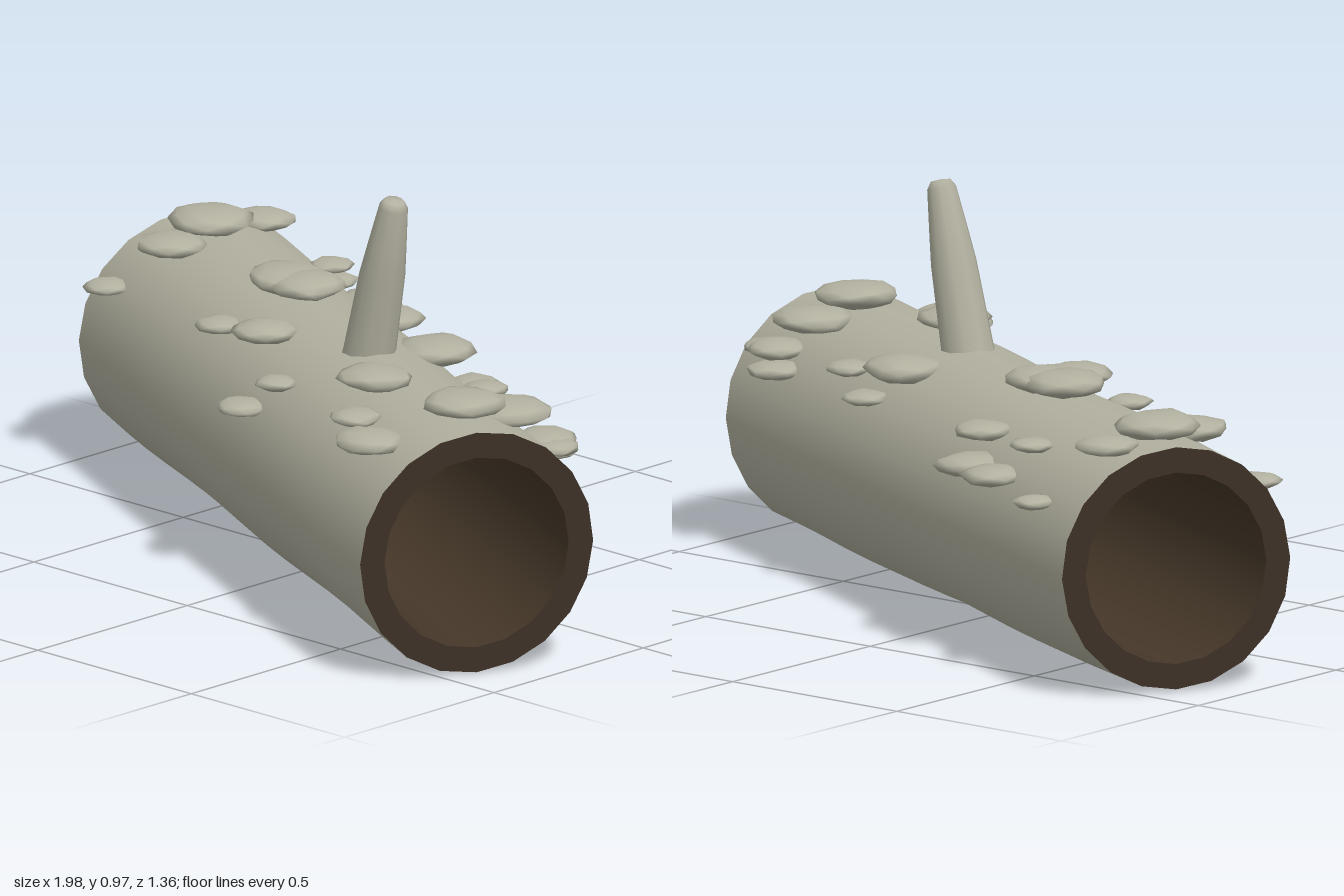
import * as THREE from 'three';
import { mergeVertices } from 'three/addons/utils/BufferGeometryUtils.js';

const LENGTH = 1.915, RADIUS = 0.291, INNER = 0.23, CENTRE_Y = 0.304, SIDES = 20;
const YAW = -0.45; // the log lies diagonally

// knobs on the bark: x, z, radius
const KNOBS = [
  [-0.565, -0.58, 0.05], [-0.71, -0.485, 0.072], [-0.735, -0.335, 0.1], [-0.73, -0.2, 0.083], [-0.87, -0.125, 0.055],
  [-0.345, -0.465, 0.075], [-0.44, -0.435, 0.052], [-0.23, -0.41, 0.083], [-0.21, -0.34, 0.07], [-0.28, -0.12, 0.096],
  [-0.205, -0.12, 0.09], [-0.305, 0.08, 0.055], [-0.115, 0.12, 0.08], [-0.015, 0.3, 0.06], [0.08, 0.285, 0.05],
  [0.26, -0.065, 0.095], [0.335, -0.115, 0.055], [0.47, -0.015, 0.055], [0.4, 0.285, 0.085], [0.485, 0.435, 0.06],
  [0.61, 0.515, 0.085], [0.77, 0.075, 0.07], [0.74, 0.18, 0.097], [0.715, 0.31, 0.095], [0.85, 0.14, 0.055], [0.8, 0.12, 0.075],
];

function seeded(seed) {
  return () => ((seed = (seed * 16807) % 2147483647) / 2147483647);
}

// gentle waviness along the trunk, then lay the y axis along x
function wobbleAndLay(geometry) {
  const p = geometry.attributes.position;
  for (let i = 0; i < p.count; i++) {
    const x = p.getX(i), y = p.getY(i), z = p.getZ(i);
    const k = 1 + 0.012 * Math.sin(7 * y + 2 * Math.atan2(z, x));
    p.setXYZ(i, x * k, y, z * k);
  }
  return geometry.rotateZ(-Math.PI / 2);
}

// flattened, slightly lumpy ball
function knobGeometry(r, random) {
  const raw = new THREE.IcosahedronGeometry(1, 1);
  raw.deleteAttribute('normal');
  raw.deleteAttribute('uv');
  const g = mergeVertices(raw, 1e-4);
  const p = g.attributes.position;
  for (let i = 0; i < p.count; i++) {
    const k = 0.9 + 0.2 * random();
    p.setXYZ(i, p.getX(i) * k, p.getY(i) * k, p.getZ(i) * k);
  }
  g.rotateY(random() * 6.28);
  g.scale(r, r * 0.32, r);
  g.computeVertexNormals();
  return g;
}

export function createModel() {
  const model = new THREE.Group();
  model.name = 'hollowLog';
  const bark = new THREE.MeshStandardMaterial({ color: 0xb2b1a0 });
  bark.name = 'greyBark';
  const wood = new THREE.MeshStandardMaterial({ color: 0x3d3026 });
  wood.name = 'darkCutWood';
  const hollow = new THREE.MeshStandardMaterial({ color: 0x463829, side: THREE.DoubleSide });
  hollow.name = 'brownHollow';

  const add = (parent, name, geometry, material) => {
    const mesh = new THREE.Mesh(geometry, material);
    mesh.name = name;
    parent.add(mesh);
    return mesh;
  };

  // trunk: outer bark, hollow inside and two cut ends
  const trunk = new THREE.Group();
  trunk.name = 'trunk';
  trunk.position.y = CENTRE_Y;
  trunk.rotation.y = YAW;
  model.add(trunk);
  const tube = (r) => wobbleAndLay(new THREE.CylinderGeometry(r, r, LENGTH, SIDES, 14, true));
  add(trunk, 'barkShell', tube(RADIUS), bark);
  add(trunk, 'hollowInside', tube(INNER), hollow);
  for (const s of [-1, 1]) {
    const ring = new THREE.RingGeometry(INNER, RADIUS, SIDES, 1);
    ring.rotateX(-s * Math.PI / 2).rotateY(Math.PI / 2).translate(0, s * LENGTH / 2, 0);
    add(trunk, s > 0 ? 'rightCutEnd' : 'leftCutEnd', wobbleAndLay(ring), wood);
  }

  // leaning branch stub
  const base = new THREE.Vector3(0.186, 0.5, 0.1), tip = new THREE.Vector3(0.3, 0.98, 0.114);
  const dir = tip.clone().sub(base), h = dir.length();
  const profile = [[0.07, 0], [0.063, 0.2], [0.055, 0.6], [0.047, 0.75], [0.035, 0.96], [0.024, 0.995], [0, 1]]
    .map(([r, t]) => new THREE.Vector2(r, t * h));
  const branch = add(model, 'branch', new THREE.LatheGeometry(profile, 10), bark);
  branch.position.copy(base);
  branch.quaternion.setFromUnitVectors(new THREE.Vector3(0, 1, 0), dir.normalize());

  // knobs resting on the upper bark
  const knobs = new THREE.Group();
  knobs.name = 'barkKnobs';
  model.add(knobs);
  const random = seeded(4271);
  for (const [x, z, r] of KNOBS) {
    const across = x * Math.sin(YAW) + z * Math.cos(YAW);
    const y = CENTRE_Y + Math.sqrt(Math.max(0.018, 0.312 ** 2 - across ** 2));
    add(knobs, 'knob', knobGeometry(r, random), bark).position.set(x, y, z);
  }
  return model;
}
